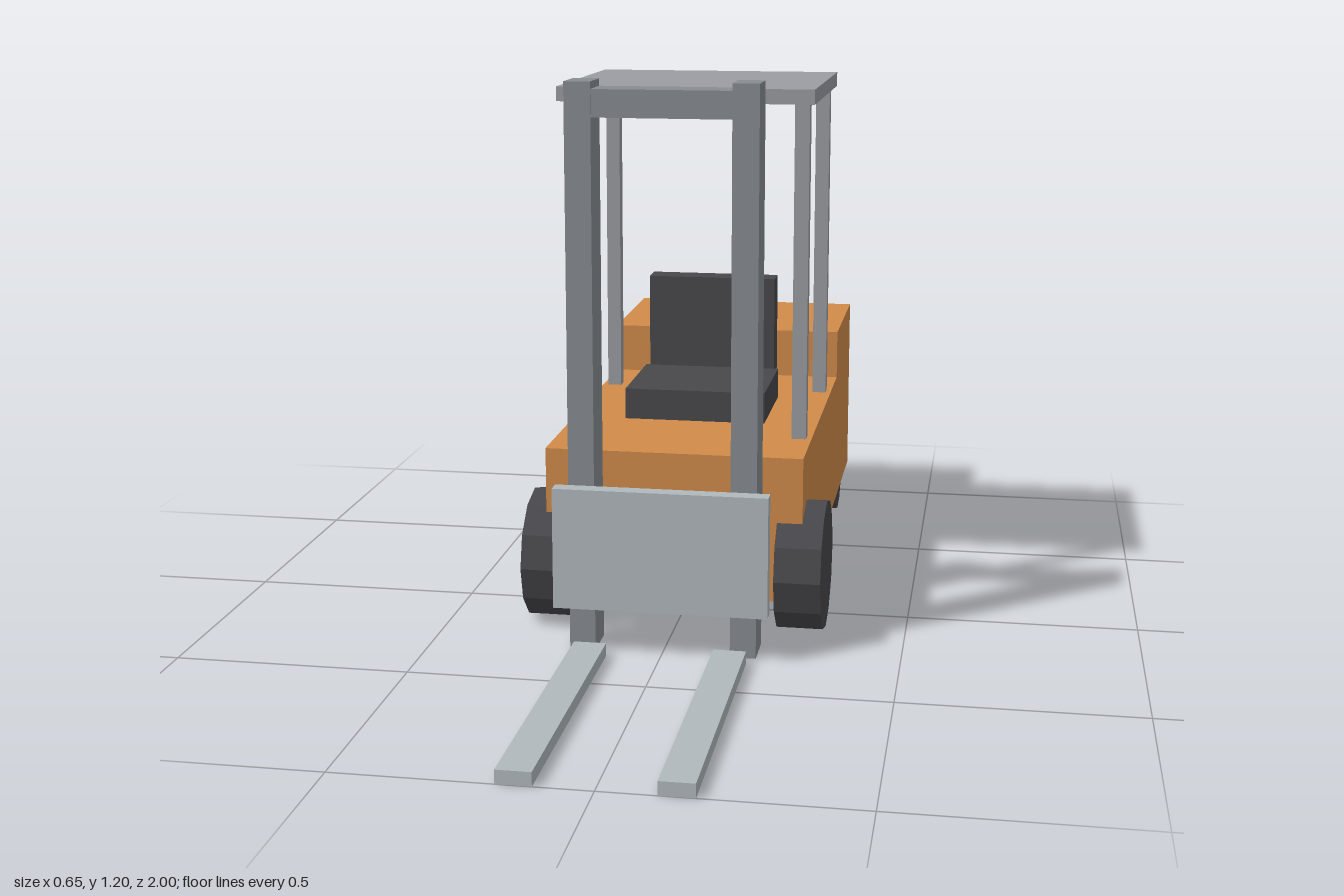
import * as THREE from 'three';

const mat = (color) => new THREE.MeshStandardMaterial({ color, flatShading: true });

export function createModel() {
  const model = new THREE.Group();
  const paint = mat(0xd18c4a), steel = mat(0x888d92), frame = mat(0x9b9da2);
  const plate = mat(0xb1b9bd), dark = mat(0x48484c);

  const add = (name, geometry, material) => {
    const mesh = new THREE.Mesh(geometry, material);
    mesh.name = name;
    model.add(mesh);
    return mesh;
  };
  // Box given by its extents along each axis
  const box = (name, material, [x0, x1], [y0, y1], [z0, z1]) =>
    add(name, new THREE.BoxGeometry(x1 - x0, y1 - y0, z1 - z0), material)
      .position.set((x0 + x1) / 2, (y0 + y1) / 2, (z0 + z1) / 2);
  // The same box on both sides
  const pair = (name, material, [x0, x1], y, z) => {
    box(name + 'Left', material, [x0, x1], y, z);
    box(name + 'Right', material, [-x1, -x0], y, z);
  };
  const wheels = (name, radius, width, x, z) => {
    for (const side of [1, -1]) {
      const geometry = new THREE.CylinderGeometry(radius, radius, width, 12).rotateZ(Math.PI / 2);
      add(name + (side > 0 ? 'Left' : 'Right'), geometry, dark).position.set(side * x, radius, z);
    }
  };

  // Chassis with raised counterweight: side profile drawn as (-z, y), extruded across x
  const profile = new THREE.Shape([
    [-0.17, 0.08], [1, 0.08], [1, 0.515], [0.62, 0.515], [0.62, 0.4], [-0.17, 0.4],
  ].map(([a, b]) => new THREE.Vector2(a, b)));
  const body = new THREE.ExtrudeGeometry(profile, { depth: 0.56, bevelEnabled: false });
  add('body', body.translate(0, 0, -0.28).rotateY(Math.PI / 2), paint);

  // Wheels
  wheels('frontWheel', 0.143, 0.1, 0.275, 0.088);
  wheels('rearWheel', 0.105, 0.08, 0.23, -0.825);

  // Seat
  box('seatCushion', dark, [-0.16, 0.16], [0.4, 0.47], [-0.385, -0.12]);
  box('seatBack', dark, [-0.15, 0.15], [0.46, 0.687], [-0.44, -0.38]);

  // Overhead guard
  pair('guardPostFront', frame, [0.236, 0.268], [0.4, 1.135], [-0.028, 0.004]);
  pair('guardPostRear', frame, [0.236, 0.268], [0.4, 1.135], [-0.482, -0.45]);
  box('guardRoof', frame, [-0.28, 0.28], [1.135, 1.167], [-0.5, 0.024]);

  // Mast, carriage and forks
  pair('mastRail', steel, [0.144, 0.199], [0, 1.2], [0.218, 0.308]);
  box('mastCrossbar', steel, [-0.144, 0.144], [1.128, 1.185], [0.22, 0.306]);
  box('carriage', plate, [-0.227, 0.227], [0.1, 0.36], [0.308, 0.342]);
  pair('fork', plate, [0.114, 0.183], [0, 0.028], [0.342, 1]);

  return model;
}
